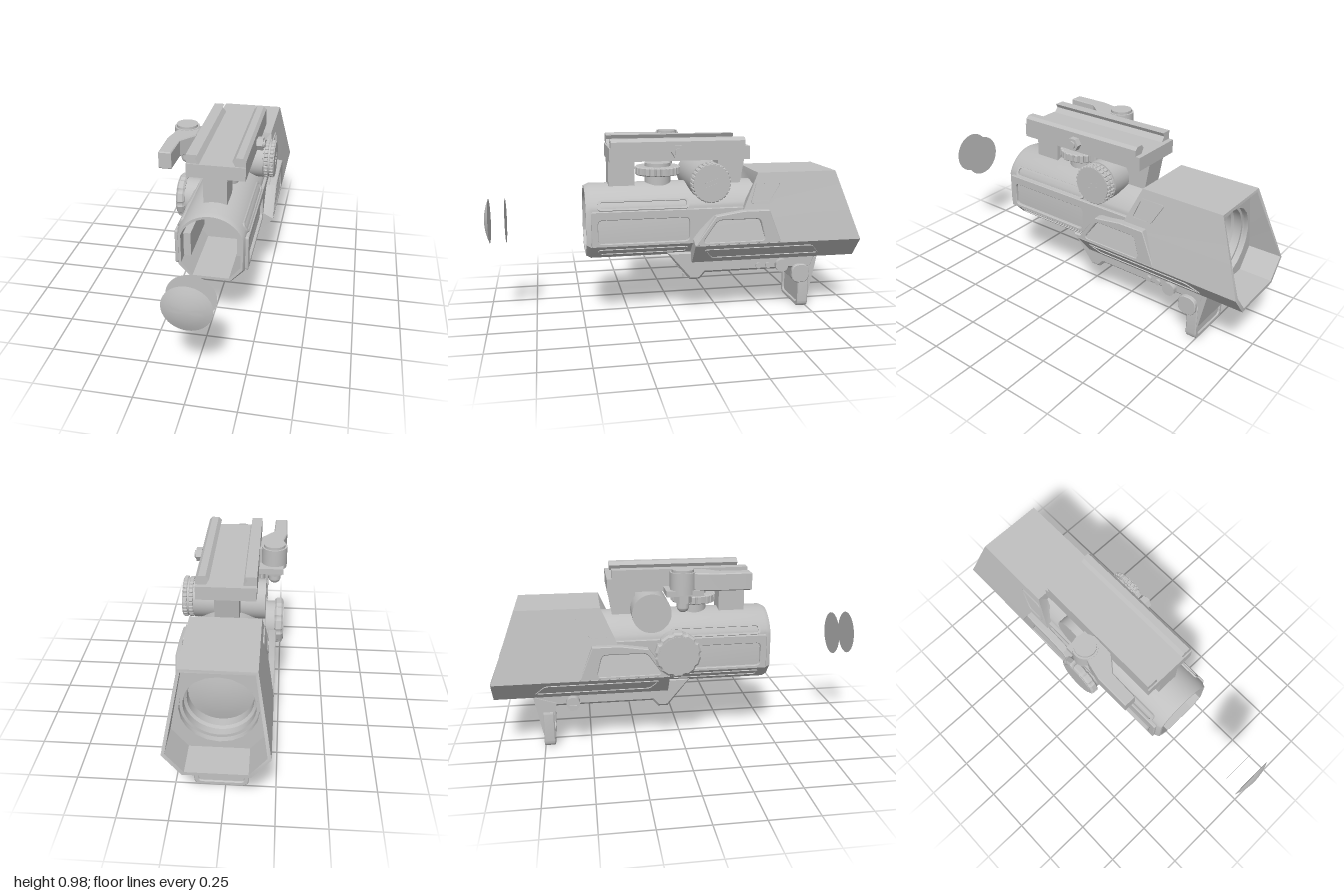
import * as THREE from 'three';
import { toCreasedNormals } from 'three/addons/utils/BufferGeometryUtils.js';

const metal = new THREE.MeshStandardMaterial({ color: 0xc0c0c0, side: THREE.DoubleSide });
metal.name = 'grey metal';
const C = 0.02; // x of the optical axis
const AY = 0.537; // y of the optical axis

function add(parent, name, geo, x = 0, y = 0, z = 0, smooth = true) {
  const m = new THREE.Mesh(smooth ? toCreasedNormals(geo, 0.55) : geo, metal);
  m.name = name;
  m.position.set(x, y, z);
  parent.add(m);
  return m;
}
// Box from its limits
function box(parent, name, x0, x1, y0, y1, z0, z1) {
  return add(parent, name, new THREE.BoxGeometry(x1 - x0, y1 - y0, z1 - z0),
    (x0 + x1) / 2, (y0 + y1) / 2, (z0 + z1) / 2, false);
}
function cyl(parent, name, axis, r, len, x, y, z, seg = 40) {
  const g = new THREE.CylinderGeometry(r, r, len, seg);
  if (axis === 'x') g.rotateZ(-Math.PI / 2);
  return add(parent, name, g, x, y, z);
}
const poly = pts => new THREE.Shape(pts.map(p => new THREE.Vector2(p[0], p[1])));
// Polygon with rounded corners
function rounded(pts, r) {
  const s = new THREE.Shape();
  const v = pts.map(p => new THREE.Vector2(p[0], p[1]));
  v.forEach((p, i) => {
    const a = v[(i + v.length - 1) % v.length], b = v[(i + 1) % v.length];
    const p0 = p.clone().add(a.clone().sub(p).setLength(r));
    const p1 = p.clone().add(b.clone().sub(p).setLength(r));
    if (i) s.lineTo(p0.x, p0.y); else s.moveTo(p0.x, p0.y);
    s.quadraticCurveTo(p.x, p.y, p1.x, p1.y);
  });
  s.closePath();
  return s;
}
const rect = (a, b, c, d, r) => rounded([[a, c], [b, c], [b, d], [a, d]], r);
function extrude(shape, depth, bevel = 0) {
  return new THREE.ExtrudeGeometry(shape, { depth: depth - 2 * bevel, curveSegments: 10, bevelEnabled: bevel > 0,
    bevelThickness: bevel, bevelSize: bevel, bevelOffset: -bevel, bevelSegments: 1 }).translate(0, 0, bevel);
}
// Shape drawn in (z, y), swept from x0 to x1
const sideways = (shape, x0, x1, bevel = 0) =>
  extrude(shape, x1 - x0, bevel).rotateY(-Math.PI / 2).translate(x1, 0, 0);

// Tube section at z: round top, straight sides, chamfered flat bottom
function tubeSection(w, r, low, z) {
  const pts = [[-0.62 * w, low, z], [0.62 * w, low, z], [w, low + 0.07, z]];
  const a = Math.acos(w / r);
  for (let i = 0; i <= 24; i++) {
    const t = a + (Math.PI - 2 * a) * i / 24;
    pts.push([r * Math.cos(t), AY + r * Math.sin(t), z]);
  }
  pts.push([-w, low + 0.07, z]);
  return pts;
}
// Stitch rings of equal point count
function loft(rings) {
  const n = rings[0].length, idx = [];
  for (let k = 0; k < rings.length - 1; k++) for (let i = 0; i < n; i++) {
    const a = k * n + i, b = k * n + (i + 1) % n;
    idx.push(a, b, a + n, b, b + n, a + n);
  }
  const g = new THREE.BufferGeometry();
  g.setAttribute('position', new THREE.Float32BufferAttribute(rings.flat(2), 3));
  g.setIndex(idx);
  return g.toNonIndexed();
}
// Gear-like outline for knurled knobs
function gear(r0, r1, teeth) {
  const pts = [];
  for (let i = 0; i < teeth; i++) [[0.05, r0], [0.2, r1], [0.8, r1], [0.95, r0]].forEach(([f, r]) => {
    const t = (i + f) / teeth * Math.PI * 2;
    pts.push([r * Math.cos(t), r * Math.sin(t)]);
  });
  return poly(pts);
}

export function createModel() {
  const root = new THREE.Group();
  root.name = 'weaponSight';
  const optic = new THREE.Group();
  optic.name = 'optic';
  optic.position.x = C;
  root.add(optic);

  // Main tube, chamfered and open at the front
  add(optic, 'mainTube', loft([tubeSection(0.17, 0.185, 0.34, -0.46), tubeSection(0.17, 0.185, 0.34, 0.455),
    tubeSection(0.162, 0.173, 0.352, 0.48), tubeSection(0.15, 0.16, 0.365, 0.48), tubeSection(0.15, 0.16, 0.365, 0.09)]));
  add(optic, 'innerWall', extrude(poly(tubeSection(0.155, 0.165, 0.36, 0)), 0.02), 0, 0, 0.08);
  box(optic, 'emitterHousing', -0.15, -0.113, 0.44, 0.57, 0.1, 0.42);
  box(optic, 'sensorHousing', 0.115, 0.15, 0.44, 0.57, 0.1, 0.38);

  // Hood: hexagonal shroud with slanted rear and stepped front [x, y, zFront, zBack]
  const half = [[0.175, 0.78, -0.43, -0.865], [0.213, 0.575, -0.34, -0.94],
    [0.215, 0.565, -0.19, -0.943], [0.243, 0.41, -0.08, -1], [0.155, 0.3, -0.08, -1]];
  const sec = [...half, ...half.slice().reverse().map(p => [-p[0], p[1], p[2], p[3]])];
  const ring = (s, f) => sec.map(p => [p[0] * s, 0.54 + (p[1] - 0.54) * s, f(p)]);
  add(optic, 'hood', loft([ring(0.7, p => p[2]), ring(1, p => p[2]), ring(1, p => p[3]),
    ring(0.93, p => p[3]), ring(0.92, () => -0.83)]));
  const bulkhead = poly(ring(0.93, () => 0).reverse());
  bulkhead.holes.push(new THREE.Path().absarc(0, AY, 0.183, 0, Math.PI * 2));
  add(optic, 'hoodBulkhead', extrude(bulkhead, 0.02), 0, 0, -0.83);
  const steps = [[0.183, -0.83], [0.183, -0.8], [0.168, -0.8], [0.168, -0.76], [0.155, -0.75], [0.155, -0.69]];
  add(optic, 'lensSeat', new THREE.LatheGeometry(steps.map(p => new THREE.Vector2(...p)), 48)
    .rotateX(Math.PI / 2), 0, AY, 0);
  const cap = (r, h) => new THREE.LatheGeometry([0, 0.25, 0.5, 0.75, 1]
    .map(t => new THREE.Vector2(r * t, h * (1 - t * t))), 40).rotateX(Math.PI / 2);
  add(optic, 'objectiveLens', cap(0.156, -0.02), 0, AY, -0.7);

  // Detached eyepiece elements ahead of the tube
  add(optic, 'frontLens', cap(0.117, 0.025), 0, AY, 0.975);
  add(optic, 'frontLensBack', new THREE.CircleGeometry(0.117, 40), 0, AY, 0.975);
  add(optic, 'rearLens', new THREE.CircleGeometry(0.117, 40), 0, AY, 0.89);

  // Side panels with windows, mirrored
  for (const s of [1, -1]) {
    const side = new THREE.Group();
    side.name = s > 0 ? 'leftPanels' : 'rightPanels';
    side.scale.x = s;
    optic.add(side);
    const panel = rect(-0.38, 0.455, 0.412, 0.6, 0.01);
    panel.holes.push(rect(-0.06, 0.42, 0.43, 0.555, 0.025));
    add(side, 'windowPanel', sideways(panel, 0.155, 0.186, 0.003));
    // Upright cheek with a window at the front of the hood
    const cheek = poly([[-0.55, 0.412], [-0.08, 0.412], [-0.19, 0.567], [-0.34, 0.59], [-0.48, 0.59]]);
    cheek.holes.push(rounded([[-0.46, 0.428], [-0.12, 0.428], [-0.2, 0.545], [-0.43, 0.545]], 0.025));
    add(side, 'cheek', sideways(cheek, 0.2, 0.243, 0.004));
    // Thin rim around a slot, laid on a sloping face
    const rim = (name, pts, x, y, tilt) => {
      const mz = pts.reduce((t, p) => t + p[0], 0) / pts.length;
      const o = rounded(pts, 0.02);
      o.holes.push(rounded(pts.map(p => [p[0] + (p[0] > mz ? -0.012 : 0.012), p[1] - 0.01 * Math.sign(p[1])]), 0.014));
      add(side, name, sideways(o, -0.004, 0.005), x, y, 0).rotation.z = tilt;
    };
    rim('upperCheekRim', [[-0.5, -0.052], [-0.385, -0.052], [-0.42, 0.065], [-0.565, 0.065]], 0.197, 0.67, 0.183);
    rim('hoodSlotRim', [[-0.79, -0.04], [-0.17, -0.04], [-0.13, 0.04], [-0.73, 0.04]], 0.199, 0.355, -0.675);
    rim('tubeSlotRim', [[-0.06, -0.025], [0.42, -0.025], [0.42, 0.025], [-0.06, 0.025]], 0.138, 0.375, -0.75);
    rim('tubeTopRim', [[-0.06, -0.028], [0.42, -0.028], [0.42, 0.028], [-0.06, 0.028]], 0.164, 0.628, 0.5);
    // Raised pads under the tube
    for (let i = 0; i < 3; i++) box(side, 'underPad', 0.015, 0.085, 0.333, 0.345, 0.1 + i * 0.09, 0.165 + i * 0.09);
  }

  // Elevation drum lying across the tube
  cyl(root, 'drumBody', 'x', 0.103, 0.36, 0.015, 0.74, -0.165);
  for (const x of [0.2, 0.23]) add(root, 'drumGrip', sideways(gear(0.098, 0.104, 28), x, x + 0.022, 0.004), 0, 0.74, -0.165);
  cyl(root, 'drumCap', 'x', 0.096, 0.06, 0.225, 0.74, -0.165);
  for (const d of [-0.012, 0.012]) box(root, 'drumMark', 0.25, 0.257, 0.736 + d, 0.741 + d, -0.2, -0.13).rotation.x = 0.35;

  // Side cap with scalloped rim
  cyl(root, 'sideCapNeck', 'x', 0.105, 0.08, -0.18, AY, -0.04);
  add(root, 'sideCap', sideways(gear(0.114, 0.122, 10), -0.257, -0.212, 0.01), 0, AY, -0.04);
  cyl(root, 'sideCapFace', 'x', 0.1, 0.03, -0.246, AY, -0.04);

  // Clamp wheel between tube and mount
  cyl(root, 'wheelStem', 'y', 0.07, 0.15, C, 0.75, 0.08);
  add(root, 'clampWheel', extrude(gear(0.113, 0.122, 26), 0.045, 0.005).rotateX(-Math.PI / 2), C, 0.762, 0.08);

  // Mount: base, hooked claws, stems and clamp bolt
  box(root, 'mountBase', -0.125, 0.17, 0.85, 0.92, -0.39, 0.353);
  const leftClaw = poly([[0.17, 0.92], [0.17, 0.95], [0.155, 0.965], [0.12, 0.965], [0.103, 0.947], [0.118, 0.92]]);
  const rightClaw = poly([[-0.06, 0.92], [-0.08, 0.945], [-0.069, 0.965], [-0.125, 0.965], [-0.125, 0.92]]);
  add(root, 'leftClaw', extrude(leftClaw, 0.71), 0, 0, -0.365);
  add(root, 'rightClaw', extrude(rightClaw, 0.71), 0, 0, -0.365);
  box(root, 'frontStem', -0.04, 0.08, 0.68, 0.86, 0.212, 0.352);
  add(root, 'rearStem', sideways(poly([[-0.24, 0.68], [-0.36, 0.68], [-0.39, 0.86], [-0.24, 0.86]]), -0.04, 0.08));
  cyl(root, 'clampNut', 'x', 0.036, 0.03, 0.191, 0.9, 0, 6);
  cyl(root, 'clampBolt', 'x', 0.02, 0.05, 0.19, 0.9, 0, 16);

  // Quick release lever; outline drawn in (x, -z)
  const lever = poly([[-0.125, 0.03], [-0.2, 0.03], [-0.245, -0.06], [-0.265, -0.15], [-0.265, -0.335],
    [-0.2, -0.335], [-0.195, -0.18], [-0.13, -0.1]]);
  add(root, 'lever', extrude(lever, 0.09, 0.005).rotateX(-Math.PI / 2), 0, 0.873, 0);
  box(root, 'leverBracket', -0.25, -0.12, 0.846, 0.876, -0.1, 0.09);
  cyl(root, 'leverHub', 'y', 0.066, 0.11, -0.2, 0.91, -0.01);
  cyl(root, 'leverCap', 'y', 0.056, 0.03, -0.2, 0.963, -0.01);
  cyl(root, 'leverNut', 'y', 0.045, 0.04, -0.205, 0.828, -0.01, 6);
  cyl(root, 'leverPost', 'y', 0.032, 0.03, -0.205, 0.8, -0.01, 24);
  add(root, 'acornEnd', new THREE.SphereGeometry(0.032, 24, 16), -0.205, 0.787, -0.01);

  // Lower housing with sloped nose
  const keel = poly([[0.05, 0.35], [-0.075, 0.195], [-0.13, 0.195], [-0.16, 0.23], [-0.77, 0.23], [-0.8, 0.32], [-0.8, 0.35]]);
  add(root, 'lowerHousing', sideways(keel, -0.1, 0.152, 0.012));
  for (const x of [-0.026, 0.07]) add(root, 'noseScrew', new THREE.TorusGeometry(0.016, 0.005, 8, 20), x, 0.255, -0.025).rotation.x = 0.7;
  cyl(root, 'bottomScrew', 'y', 0.025, 0.02, C, 0.186, -0.085, 20);
  cyl(root, 'rightScrew', 'x', 0.036, 0.045, -0.122, 0.255, -0.59, 24);
  box(root, 'rightScrewHead', -0.153, -0.143, 0.22, 0.248, -0.61, -0.57);
  cyl(root, 'leftScrew', 'x', 0.036, 0.035, 0.16, 0.255, -0.59, 24);
  for (const z of [-0.46, -0.515]) cyl(root, 'leftPin', 'x', 0.016, 0.02, 0.154, 0.257, z, 16);

  // Hinged flap below the rear
  const flap = rect(-0.115, 0.157, 0, 0.215, 0.035);
  flap.holes.push(rect(-0.09, 0.133, 0.025, 0.19, 0.02));
  add(root, 'flapFrame', extrude(flap, 0.06, 0.005), 0, 0, -0.755);
  box(root, 'flapPanel', -0.1, 0.145, 0.015, 0.2, -0.747, -0.705);
  add(root, 'flapHinge', sideways(poly([[-0.695, 0.14], [-0.68, 0.25], [-0.8, 0.29], [-0.758, 0.08]]), -0.11, 0.15));
  add(root, 'hingeTab', sideways(rect(-0.75, -0.65, 0.15, 0.255, 0.045), 0.15, 0.175, 0.004));
  return root;
}
